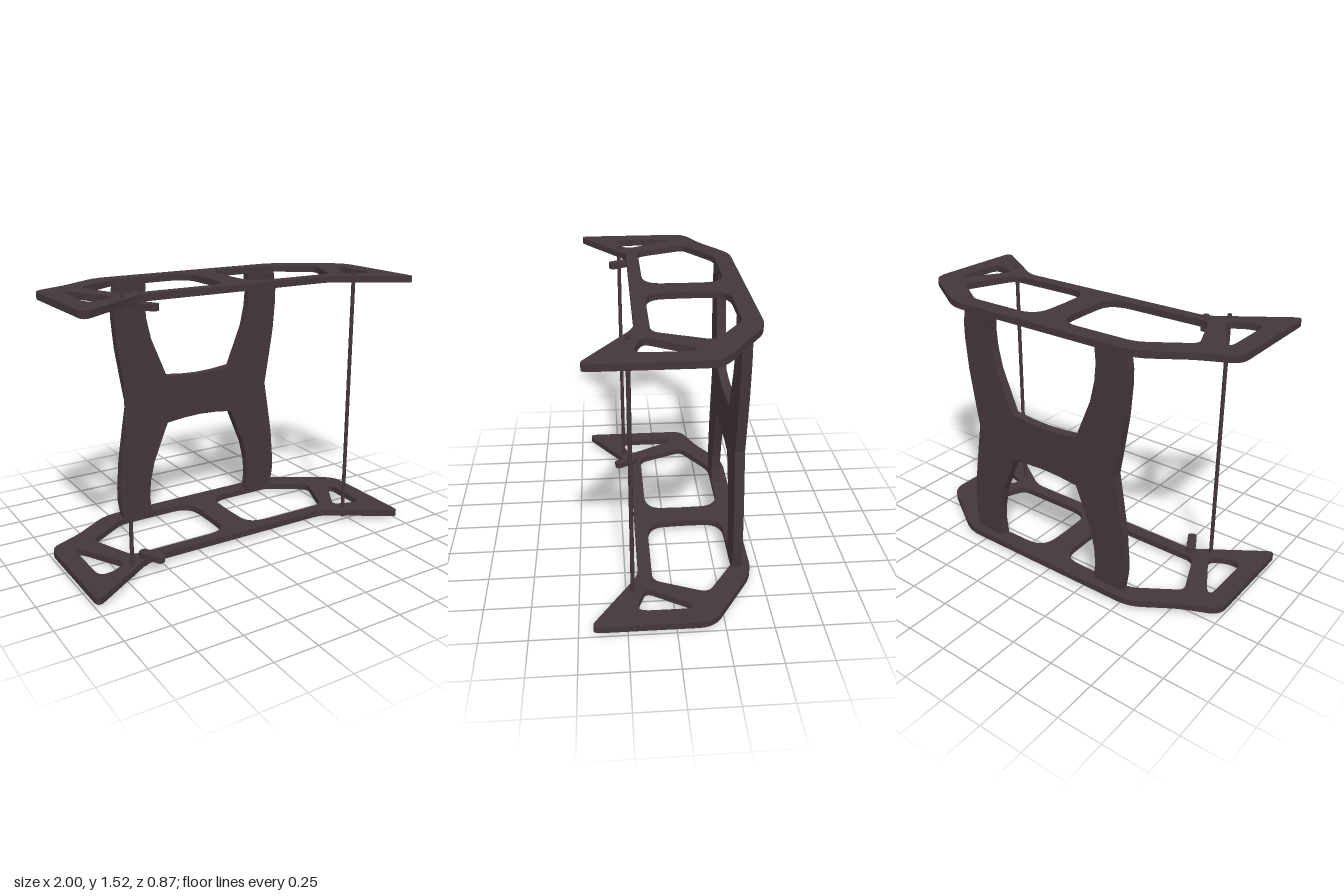
import * as THREE from 'three';

const material = new THREE.MeshStandardMaterial({ color: 0x43373a, flatShading: true });

// Closed path through [x, y, cornerRadius] points, each corner rounded off
function roundedPath(points, path) {
  const n = points.length;
  points.forEach(([x, y, r = 0], i) => {
    const corner = new THREE.Vector2(x, y);
    const toward = ([px, py]) => {
      const d = new THREE.Vector2(px - x, py - y);
      return corner.clone().addScaledVector(d.clone().normalize(), Math.min(r, d.length() * 0.48));
    };
    const a = toward(points[(i + n - 1) % n]);
    const b = toward(points[(i + 1) % n]);
    if (i === 0) path.moveTo(a.x, a.y);
    else path.lineTo(a.x, a.y);
    if (r > 0) path.quadraticCurveTo(x, y, b.x, b.y);
  });
  path.closePath();
  return path;
}

function add(parent, name, geometry, x = 0, y = 0, z = 0) {
  const mesh = new THREE.Mesh(geometry, material);
  mesh.name = name;
  mesh.position.set(x, y, z);
  parent.add(mesh);
  return mesh;
}

// Flat frame drawn in x/z, with two large windows and two wing slots
function plateGeometry(thickness) {
  const shape = roundedPath([
    [-1, -0.2, 0.06], [-0.8, -0.29, 0.05], [-0.57, -0.44, 0.08], [0.61, -0.44, 0.08],
    [1, -0.19, 0.08], [1, 0.445, 0.06], [0.6, 0.18, 0.06], [-0.59, 0.175, 0.05], [-1, 0.455, 0.06],
  ], new THREE.Shape());
  const holes = [
    [[-0.51, -0.34, 0.06], [-0.04, -0.34, 0.12], [-0.035, -0.1], [-0.04, 0.105, 0.13],
      [-0.645, 0.105, 0.05], [-0.76, -0.175, 0.04]],
    [[0.11, -0.34, 0.12], [0.54, -0.34, 0.03], [0.77, -0.185, 0.05], [0.65, 0.105, 0.05],
      [0.12, 0.105, 0.13], [0.11, -0.1]],
    [[-0.895, -0.115, 0.05], [-0.86, -0.105, 0.04], [-0.715, 0.16, 0.04],
      [-0.81, 0.22, 0.05], [-0.895, 0.22, 0.06]],
    [[0.855, -0.085, 0.04], [0.89, -0.085, 0.04], [0.89, 0.19, 0.07],
      [0.83, 0.19, 0.04], [0.715, 0.145, 0.04]],
  ];
  for (const h of holes) shape.holes.push(roundedPath(h, new THREE.Path()));
  return new THREE.ExtrudeGeometry(shape, { depth: thickness, bevelEnabled: false, curveSegments: 6 })
    .rotateX(Math.PI / 2);
}

// H-shaped back panel, built from one quarter mirrored both ways
function panelGeometry(depth) {
  const outer = [[0.475, 0], [0.5, 0.15], [0.53, 0.34], [0.545, 0.52], [0.545, 0.6], [0.53, 0.7]];
  const inner = [[0.342, 0.7], [0.353, 0.6], [0.345, 0.5], [0.318, 0.38],
    [0.265, 0.25], [0.222, 0.145], [0.11, 0.132], [0, 0.127]];
  const quarter = [...outer, ...inner];
  const mirror = (sx, sy) => quarter.map(([x, y]) => [x * sx, y * sy]);
  const loop = [...mirror(1, 1), ...mirror(-1, 1).reverse().slice(1),
    ...mirror(-1, -1).slice(1), ...mirror(1, -1).reverse().slice(1, -1)];
  const shape = new THREE.Shape(loop.map(([x, y]) => new THREE.Vector2(x, y)));
  return new THREE.ExtrudeGeometry(shape, { depth, bevelEnabled: false });
}

// Small swinging latch under a plate, with its pivot screw through the plate
function createLatch() {
  const latch = new THREE.Group();
  const shape = roundedPath([
    [-0.026, -0.026, 0.025], [0.026, -0.026, 0.025], [0.026, 0.13, 0.025], [-0.026, 0.13, 0.025],
  ], new THREE.Shape());
  const arm = add(latch, 'latchArm',
    new THREE.ExtrudeGeometry(shape, { depth: 0.034, bevelEnabled: false, curveSegments: 5 })
      .rotateX(Math.PI / 2), 0, -0.018, 0);
  arm.rotation.y = 0.48;
  add(latch, 'latchScrewHead', new THREE.CylinderGeometry(0.014, 0.024, 0.015, 14), 0, 0.025, 0);
  add(latch, 'latchScrew', new THREE.CylinderGeometry(0.01, 0.01, 0.06, 10), 0, -0.01, 0);
  return latch;
}

export function createModel() {
  const model = new THREE.Group();
  model.name = 'rackFrame';
  const thickness = 0.036;

  // Top and bottom plates
  const plate = plateGeometry(thickness);
  add(model, 'bottomPlate', plate, 0, 0.06, 0);
  add(model, 'topPlate', plate, 0, 1.498, 0);

  // Back panel between the plates
  add(model, 'backPanel', panelGeometry(0.052), 0.04, 0.76, -0.39);

  // Front tie rods, poking through both plates
  for (const [name, x] of [['rightRod', -0.7], ['leftRod', 0.737]]) {
    add(model, name, new THREE.CylinderGeometry(0.011, 0.011, 1.52, 14), x, 0.76, 0.215);
  }

  // Latches on the inner faces of the plates
  const topLatch = createLatch();
  topLatch.name = 'topLatch';
  topLatch.position.set(-0.6, 1.48, 0.157);
  model.add(topLatch);

  // Turning half a circle about z flips it over; the inner group restores the swing direction
  const bottomLatch = createLatch();
  bottomLatch.name = 'bottomLatch';
  bottomLatch.position.set(-0.6, 0.042, 0.157);
  bottomLatch.rotation.z = Math.PI;
  bottomLatch.getObjectByName('latchArm').rotation.y = -0.48;
  model.add(bottomLatch);

  return model;
}
